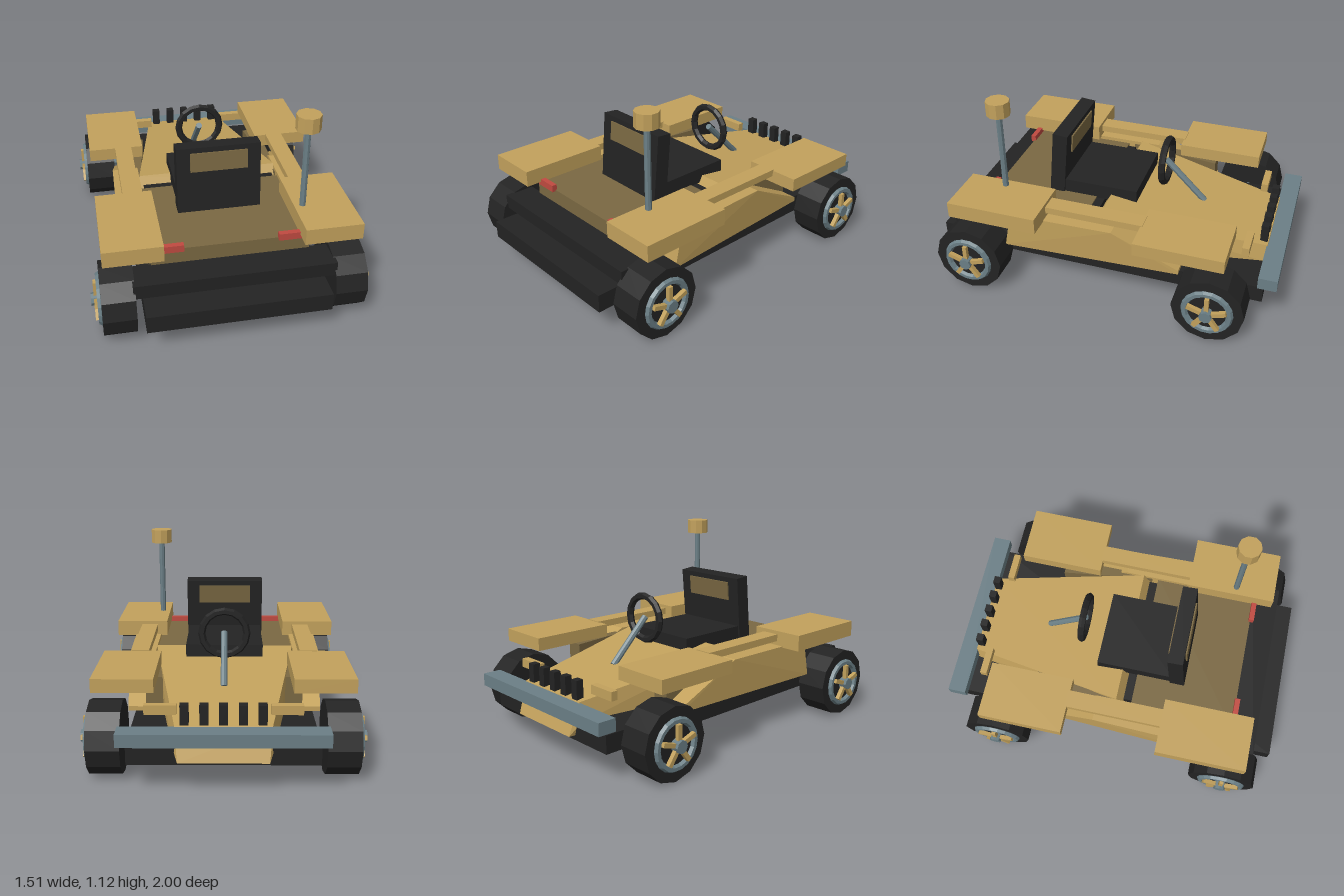
import * as THREE from 'three';
import { ConvexGeometry } from 'three/addons/geometries/ConvexGeometry.js';

export function createModel() {
  const root = new THREE.Group();
  root.name = 'buggy';
  const mat = (name, color) => {
    const m = new THREE.MeshStandardMaterial({ color, flatShading: true });
    m.name = name;
    return m;
  };
  const tan = mat('tan', 0xc2a15c);
  const brown = mat('dark tan', 0x7a6842);
  const black = mat('black', 0x232323);
  const grey = mat('steel grey', 0x6b7f86);
  const red = mat('red', 0xc04a40);

  const add = (name, geo, m, parent = root) => {
    const mesh = new THREE.Mesh(geo, m);
    mesh.name = name;
    parent.add(mesh);
    return mesh;
  };
  // box given by its extents
  const box = (name, m, [x0, x1], [y0, y1], [z0, z1], parent = root) => {
    const b = add(name, new THREE.BoxGeometry(x1 - x0, y1 - y0, z1 - z0), m, parent);
    b.position.set((x0 + x1) / 2, (y0 + y1) / 2, (z0 + z1) / 2);
    return b;
  };
  // box repeated on both sides
  const pair = (name, m, [x0, x1], y, z) => {
    box(name + 'Left', m, [x0, x1], y, z);
    box(name + 'Right', m, [-x1, -x0], y, z);
  };
  // convex solid from points of the left side, mirrored or joined across the middle
  const hull = (name, m, pts, join) => {
    const v = (s) => pts.map(([x, y, z]) => new THREE.Vector3(s * x, y, z));
    if (join) return add(name, new ConvexGeometry([...v(1), ...v(-1)]), m);
    add(name + 'Left', new ConvexGeometry(v(1)), m);
    add(name + 'Right', new ConvexGeometry(v(-1)), m);
  };

  // chassis, bumpers and tub
  box('chassis', black, [-0.49, 0.49], [0.155, 0.255], [-0.925, 1]);
  box('steelBumper', grey, [-0.53, 0.53], [0.28, 0.35], [-1, -0.895]);
  box('blackBumper', black, [-0.54, 0.54], [0.29, 0.37], [0.72, 0.89]);
  box('tub', brown, [-0.43, 0.43], [0.27, 0.458], [0.12, 0.73]);
  box('dashboard', black, [-0.39, 0.39], [0.3, 0.45], [0.07, 0.12]);

  // sloping hood and nose
  hull('hood', tan, [
    [0.245, 0.355, -0.9], [0.41, 0.49, 0.03], [0.41, 0.4, 0.08],
    [0.23, 0.18, -0.96], [0.26, 0.25, -0.9], [0.42, 0.25, 0.08],
  ], true);

  // inner walls beside the hood and outer side pods
  hull('innerWall', brown, [0.25, 0.46].flatMap((y) => [
    [0.335, y, -0.47], [0.43, y, -0.47], [0.43, y, 0.12], [0.415, y, 0.12],
  ]));
  hull('sidePod', tan, [
    [0.41, 0.26, 0.56], [0.575, 0.26, 0.56], [0.41, 0.48, 0.515], [0.575, 0.48, 0.515],
    [0.41, 0.48, -0.08], [0.56, 0.48, -0.08], [0.41, 0.285, -0.46], [0.53, 0.285, -0.46],
    [0.41, 0.26, -0.46], [0.53, 0.26, -0.46],
  ]);

  // fenders, rails and lamps
  pair('hoodFender', tan, [0.36, 0.685], [0.465, 0.54], [-0.735, -0.24]);
  pair('seatFender', tan, [0.37, 0.685], [0.473, 0.565], [0.315, 0.84]);
  pair('sideRail', tan, [0.43, 0.53], [0.505, 0.545], [-0.25, 0.32]);
  pair('tailLamp', red, [0.255, 0.395], [0.45, 0.49], [0.72, 0.75]);
  pair('noseLamp', tan, [0.24, 0.405], [0.38, 0.43], [-0.82, -0.78]);
  for (let i = -2; i <= 2; i++) {
    const x = i * 0.098;
    box('grilleTooth', black, [x - 0.022, x + 0.022], [0.34, 0.46], [-0.895, -0.853]);
  }

  // seat
  box('seatBase', black, [-0.225, 0.225], [0.45, 0.54], [-0.125, 0.33]);
  const back = new THREE.Group();
  back.name = 'seatBack';
  back.position.set(0, 0.65, 0.347);
  back.rotation.x = -0.09;
  box('backrest', black, [-0.235, 0.235], [-0.2, 0.19], [-0.044, 0.044], back);
  box('headPad', brown, [-0.16, 0.16], [0.05, 0.16], [-0.053, 0.053], back);
  root.add(back);

  // steering
  const ring = add('steeringWheel', new THREE.TorusGeometry(0.128, 0.021, 6, 16), black);
  ring.position.set(0, 0.645, -0.243);
  const column = add('steeringColumn', new THREE.CylinderGeometry(0.019, 0.019, 0.34, 8), grey);
  column.position.set(0, 0.53, -0.36);
  column.rotation.x = Math.PI / 4;

  // mast
  const mast = add('mast', new THREE.CylinderGeometry(0.018, 0.018, 0.6, 8), grey);
  mast.position.set(0.418, 0.74, 0.605);
  const cap = add('mastCap', new THREE.CylinderGeometry(0.067, 0.067, 0.085, 10), tan);
  cap.position.set(0.418, 1.073, 0.605);

  // wheels, built with the axle along +x
  const wheel = (x, z) => {
    const g = new THREE.Group();
    g.name = 'wheel';
    const disc = (name, r, x0, x1, n, m) => {
      const c = add(name, new THREE.CylinderGeometry(r, r, x1 - x0, n), m, g);
      c.rotation.z = -Math.PI / 2;
      c.position.x = (x0 + x1) / 2;
    };
    disc('tire', 0.2, -0.088, 0.088, 12, black);
    disc('hub', 0.035, 0.08, 0.138, 8, grey);
    const rim = add('rim', new THREE.TorusGeometry(0.125, 0.019, 6, 18), grey, g);
    rim.rotation.y = Math.PI / 2;
    rim.position.x = 0.09;
    for (let i = 0; i < 5; i++) {
      const arm = new THREE.Group();
      arm.name = 'spokeArm';
      arm.rotation.x = (i * Math.PI * 2) / 5;
      box('spoke', tan, [0.098, 0.122], [0.015, 0.112], [-0.012, 0.012], arm);
      g.add(arm);
    }
    g.position.set(x, 0.2, z);
    if (x < 0) g.rotation.y = Math.PI;
    root.add(g);
  };
  for (const z of [0.74, -0.665]) {
    wheel(0.617, z);
    wheel(-0.617, z);
    const axle = add('axle', new THREE.CylinderGeometry(0.03, 0.03, 1.16, 8), grey);
    axle.rotation.z = Math.PI / 2;
    axle.position.set(0, 0.205, z);
  }
  return root;
}
